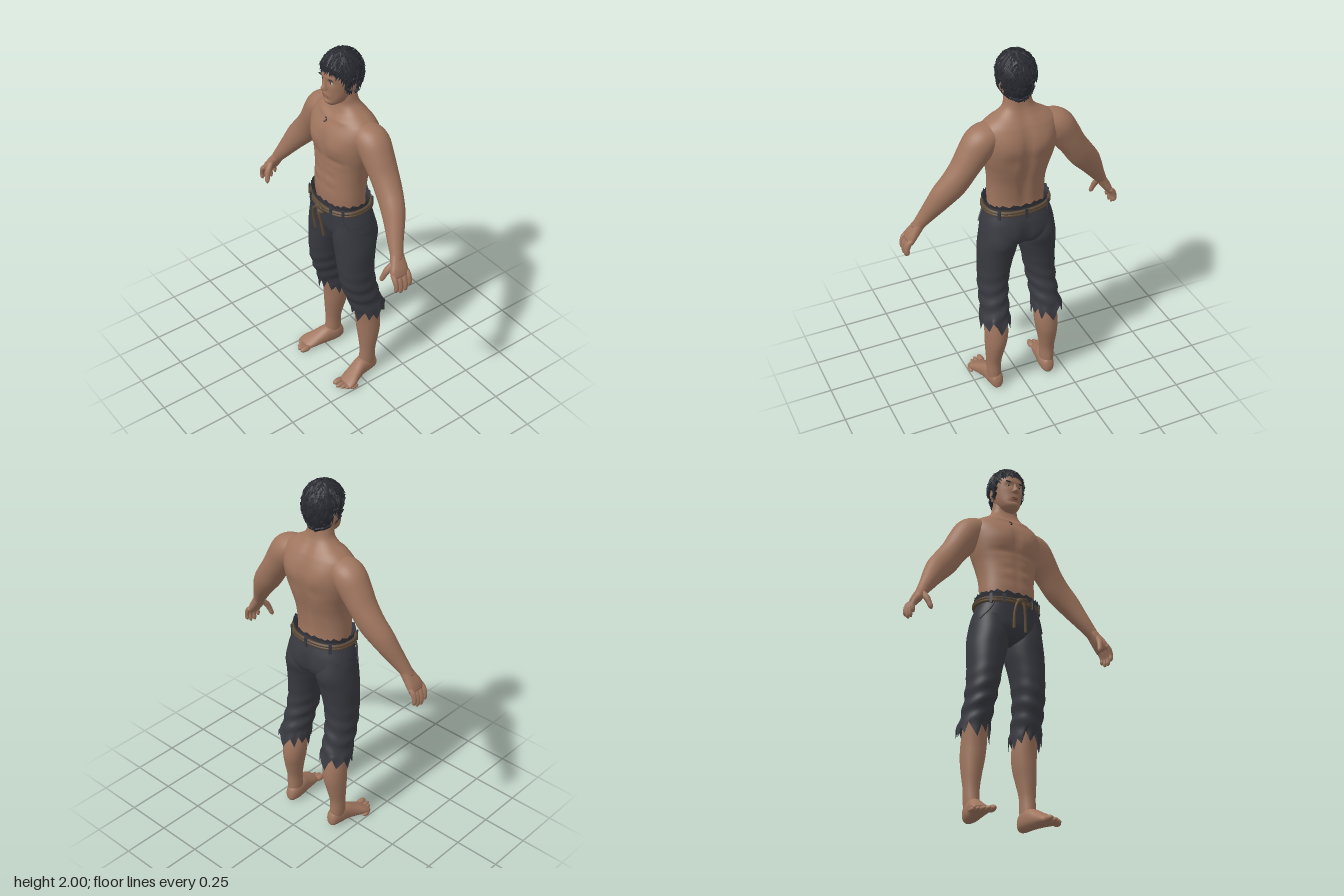
import * as THREE from 'three';
import { mergeGeometries } from 'three/addons/utils/BufferGeometryUtils.js';

const V = (x, y, z) => new THREE.Vector3(x, y, z);
const g = (a, s) => Math.exp(-((a / s) ** 2));
const mat = (name, color, extra = {}) => {
  const m = new THREE.MeshStandardMaterial({ color, ...extra });
  m.name = name;
  return m;
};

// Smooth loft through keys [x, y, z, ru, rv]. axis: 'y' level rings, 'z' upright rings, 'limb' rings across the path.
function loft(keys, { axis = 'y', seg = 24, rows = 24, n = 2, caps = true, fn } = {}) {
  const path = new THREE.CatmullRomCurve3(keys.map(k => V(k[0], k[1], k[2])), false, 'catmullrom', 0.5);
  const size = new THREE.CatmullRomCurve3(keys.map(k => V(k[3], k[4], 0)), false, 'catmullrom', 0.5);
  const pos = [], idx = [], U = V(1, 0, 0), W = axis === 'z' ? V(0, 1, 0) : V(0, 0, 1);
  const pw = v => Math.sign(v) * Math.abs(v) ** (2 / n);
  for (let i = 0; i <= rows; i++) {
    const t = i / rows, c = path.getPoint(t), r = size.getPoint(t);
    if (axis === 'limb') {
      const d = path.getTangent(t);
      U.set(-d.y, d.x, 0).normalize();
    }
    for (let j = 0; j < seg; j++) {
      const a = j / seg * Math.PI * 2;
      const p = c.clone().addScaledVector(U, pw(Math.cos(a)) * r.x).addScaledVector(W, pw(Math.sin(a)) * r.y);
      if (fn) fn(p, a, t);
      pos.push(p.x, p.y, p.z);
    }
  }
  const travel = path.getPoint(1).sub(path.getPoint(0));
  const flip = U.clone().cross(W).dot(travel) < 0;
  const tri = (a, b, c) => (flip ? idx.push(a, c, b) : idx.push(a, b, c));
  for (let i = 0; i < rows; i++) for (let j = 0; j < seg; j++) {
    const a = i * seg + j, b = i * seg + (j + 1) % seg;
    tri(a, b, b + seg);
    tri(a, b + seg, a + seg);
  }
  if (caps) for (const end of [0, 1]) {
    const c = path.getPoint(end), k = pos.length / 3, o = end * rows * seg;
    pos.push(c.x, c.y, c.z);
    for (let j = 0; j < seg; j++) {
      const a = o + j, b = o + (j + 1) % seg;
      end ? tri(a, b, k) : tri(b, a, k);
    }
  }
  const geo = new THREE.BufferGeometry();
  geo.setAttribute('position', new THREE.Float32BufferAttribute(pos, 3));
  geo.setIndex(idx);
  geo.computeVertexNormals();
  return geo;
}
// Level-ring keys given as [x, y, halfWidth, zFront, zBack]
const level = keys => keys.map(([x, y, h, f, b]) => [x, y, (f + b) / 2, h, (f - b) / 2]);

function mirror(geo) {
  const m = geo.clone().scale(-1, 1, 1), ix = m.index.array;
  for (let i = 0; i < ix.length; i += 3) [ix[i + 1], ix[i + 2]] = [ix[i + 2], ix[i + 1]];
  m.computeVertexNormals();
  return m;
}
const ball = (x, y, z, a, b, c) => new THREE.SphereGeometry(1, 16, 12).scale(a, b, c).translate(x, y, z);

export function createModel() {
  const root = new THREE.Group();
  root.name = 'barefootMan';
  const skin = mat('skin', 0xa0765f), cloth = mat('darkCloth', 0x393a41, { side: THREE.DoubleSide });
  const hairMat = mat('hair', 0x2b2d34, { side: THREE.DoubleSide }), rope = mat('rope', 0x5c4a37);
  const white = mat('eyeWhite', 0xb8aca0), lip = mat('lip', 0x85584a);
  const add = (name, geo, m) => {
    const mesh = new THREE.Mesh(geo, m);
    mesh.name = name;
    root.add(mesh);
    return mesh;
  };
  const pair = (name, geo, m) => {
    add(name + 'Left', geo, m);
    add(name + 'Right', mirror(geo), m);
  };
  // Depth of a mesh's front surface at x, y
  const frontZ = (mesh, x, y) =>
    new THREE.Raycaster(V(x, y, 2), V(0, 0, -1)).intersectObject(mesh)[0]?.point.z ?? 0.08;

  // Torso and neck, with chest, belly line and spine shaped in
  const torso = add('torso', loft(level([
    [0, 1.12, .148, .1, -.105], [0, 1.2, .15, .112, -.105], [0, 1.3, .152, .11, -.12], [0, 1.38, .165, .106, -.142],
    [0, 1.45, .185, .11, -.16], [0, 1.52, .2, .11, -.168], [0, 1.58, .205, .1, -.158], [0, 1.63, .192, .073, -.138],
    [0, 1.66, .158, .05, -.12], [0, 1.69, .108, .035, -.1], [0, 1.72, .078, .028, -.085], [0, 1.76, .068, .033, -.077],
    [0, 1.82, .062, .03, -.075]]), {
    seg: 72, rows: 72, n: 2.25,
    fn: (p, a) => {
      const s = Math.sin(a), x = Math.abs(p.x), y = p.y;
      if (s > 0) {
        p.z += s * (.013 * g(x - .09, .07) * g(y - 1.515, .055) - .008 * g(y - 1.435, .018) * g(x - .08, .07)
          - .008 * g(x, .016) * g(y - 1.51, .07) - .004 * g(x, .012) * g(y - 1.3, .1)
          + .003 * g(x - .05, .035) * Math.cos((y - 1.37) * 90) * g(y - 1.31, .08)
          + .009 * g(y - 1.645 - x * .1, .014) * g(x - .08, .06));
      } else {
        p.z -= s * (.018 * g(x, .026) * g(y - 1.42, .24)
          - .008 * g(x - .11, .05) * g(y - 1.56, .06) + .006 * g(x - .07, .04) * g(y - 1.46, .04));
      }
    },
  }), skin);

  // Arms
  pair('arm', loft([
    [.11, 1.605, -.035, .045, .06], [.16, 1.59, -.038, .068, .08], [.205, 1.56, -.042, .085, .086],
    [.25, 1.498, -.042, .08, .08], [.295, 1.43, -.042, .071, .073], [.345, 1.357, -.036, .071, .066],
    [.395, 1.295, -.022, .066, .06], [.435, 1.235, -.004, .054, .053], [.475, 1.17, .02, .041, .043],
    [.508, 1.118, .038, .031, .035], [.525, 1.09, .045, .026, .036]], { axis: 'limb', seg: 28, rows: 50 }), skin);

  // Hands
  pair('palm', loft([
    [.503, 1.125, .037, .026, .033], [.528, 1.085, .047, .026, .041], [.55, 1.05, .055, .024, .05],
    [.567, 1.02, .056, .017, .05]], { axis: 'limb', rows: 12, n: 2.4 }), skin);
  [[.097, .95], [.07, .935], [.042, .938], [.016, .958]].forEach(([z, tip], i) => {
    const y = 1.03, m = (y + tip) / 2;
    pair('finger' + (i + 1), loft([
      [.558, y + .01, z, .013, .013], [.578, m + .025, z + .001, .0145, .0135], [.588, m - .005, z, .012, .0115],
      [.586, tip + .012, z, .011, .011], [.581, tip, z, .003, .003]], { axis: 'limb', seg: 12, rows: 14 }), skin);
  });
  pair('thumb', loft([
    [.528, 1.085, .07, .017, .018], [.518, 1.05, .098, .018, .018], [.508, 1.015, .113, .014, .014],
    [.501, .99, .12, .012, .012], [.498, .977, .122, .003, .003]], { axis: 'limb', seg: 12, rows: 14 }), skin);

  // Lower legs, feet and toes
  pair('lowerLeg', loft(level([
    [.147, .56, .06, .03, -.11], [.146, .46, .062, .008, -.13], [.146, .39, .064, -.003, -.143],
    [.15, .32, .06, -.008, -.144], [.156, .25, .051, -.014, -.13], [.16, .17, .041, -.02, -.112],
    [.16, .1, .039, -.016, -.112], [.158, .05, .036, -.012, -.112]]), { rows: 36 }), skin);
  pair('foot', loft([
    [.155, .035, -.124, .012, .018], [.155, .045, -.11, .03, .042], [.156, .052, -.07, .041, .052],
    [.163, .052, -.015, .043, .052], [.177, .039, .035, .047, .039], [.19, .028, .075, .053, .028],
    [.196, .02, .105, .05, .019], [.196, .017, .118, .044, .012]], { axis: 'z', rows: 28, n: 2.3 }), skin);
  [[.157, .13, .018, .036], [.184, .136, .013, .03], [.205, .122, .012, .03], [.224, .104, .012, .028],
    [.24, .083, .012, .027]].forEach(([x, z, r, len], i) =>
    pair('toe' + (i + 1), ball(x, r * .95, z, r, r * .95, len), skin));

  // Ragged trousers: seat plus two torn legs
  const waistTear = [4, -3, 2, 5, -4, 1, 6, -2, 3, -5, 2, 0, 5, -3];
  add('trouserSeat', loft(level([
    [0, .925, .09, .02, -.06], [0, .95, .185, .08, -.12], [0, 1, .199, .111, -.146], [0, 1.07, .187, .117, -.14],
    [0, 1.13, .168, .119, -.122], [0, 1.16, .164, .121, -.117], [0, 1.187, .174, .127, -.125]]), {
    seg: 56, rows: 30, n: 2.3, caps: false,
    fn: (p, a, t) => {
      if (t === 1) p.y += .0018 * waistTear[Math.round(a / Math.PI * 28) % 14];
      if (a > Math.PI) p.z += .022 * g(p.x, .022) * g(p.y - 1, .06);
    },
  }), cloth);
  const hem = [-2, 3, -1, 5, 1, -3, 4, 0, 6, -1, 2, -4, 3, 0, 5, -2, 4, 1, -3, 3, 6, 0, 2, 4];
  pair('trouserLeg', loft(level([
    [.1, 1.06, .09, .1, -.12], [.103, .97, .1, .108, -.14], [.112, .89, .1, .104, -.122], [.124, .8, .088, .1, -.11],
    [.134, .7, .08, .091, -.106], [.141, .61, .075, .07, -.12], [.146, .53, .075, .042, -.142],
    [.152, .44, .083, .02, -.163]]), {
    seg: 48, rows: 56, n: 2.1, caps: false,
    fn: (p, a, t) => {
      const k = a / Math.PI * 12, i = Math.floor(k), f = k - i;
      const tear = hem[i % 24] * (1 - f) + hem[(i + 1) % 24] * f;
      p.y += tear * .0095 * Math.max(0, (t - .88) / .12);
      const fold = .004 * Math.sin(p.y * 75 + Math.cos(a) * 2.5) * g(p.y - .6, .13);
      p.x += fold * Math.cos(a);
      p.z += fold * Math.sin(a);
    },
  }), cloth);

  // Belt loops and slanted pocket edges
  const oval = (a, rx, rf, rb, y) => V(rx * Math.sign(Math.cos(a)) * Math.abs(Math.cos(a)) ** .88, y,
    -.001 + Math.sign(Math.sin(a)) * Math.abs(Math.sin(a)) ** .88 * (Math.sin(a) > 0 ? rf : rb));
  [.22, .36, .64, .78, 1.25, 1.5, 1.75].forEach((u, i) => {
    const loop = add('beltLoop' + (i + 1), new THREE.BoxGeometry(.016, .055, .008), cloth);
    loop.position.copy(oval(u * Math.PI, .182, .137, .135, 1.142));
    loop.rotation.y = Math.PI / 2 - u * Math.PI;
  });
  pair('pocketEdge', new THREE.TubeGeometry(new THREE.CatmullRomCurve3(
    [V(.125, 1.125, .092), V(.15, 1.08, .083), V(.186, 1.035, .047)]), 12, .005, 6), cloth);

  // Rope belt: two strands, knot and hanging tails
  const cord = (name, pts, r, closed = false) =>
    add(name, new THREE.TubeGeometry(new THREE.CatmullRomCurve3(pts, closed), closed ? 72 : 20, r, 8, closed), rope);
  for (const k of [0, 1]) cord('ropeBelt' + (k + 1), Array.from({ length: 36 }, (_, i) => {
    const a = i / 18 * Math.PI;
    return oval(a, .175, .129, .127, 1.139 + k * .014 - .008 * Math.max(0, Math.sin(a)));
  }), .009, true);
  add('ropeKnot', ball(0, 1.138, .14, .022, .018, .014), rope);
  cord('ropeTail1', [V(-.004, 1.14, .142), V(-.026, 1.115, .15), V(-.036, 1.06, .143), V(-.034, .98, .135)], .008);
  cord('ropeTail2', [V(.004, 1.14, .142), V(.018, 1.11, .15), V(.028, 1.05, .143), V(.036, .97, .133)], .008);
  cord('ropeBow', [V(0, 1.145, .142), V(.03, 1.15, .147), V(.045, 1.125, .143), V(.02, 1.122, .148), V(0, 1.135, .144)], .007);

  // Head with eye sockets, brow and chin
  const head = add('head', loft(level([
    [0, 1.718, .022, .07, .01], [0, 1.738, .047, .087, -.03], [0, 1.775, .066, .089, -.065], [0, 1.82, .076, .091, -.092],
    [0, 1.87, .08, .093, -.102], [0, 1.92, .079, .086, -.102], [0, 1.955, .062, .06, -.08], [0, 1.975, .02, .01, -.03]]), {
    seg: 56, rows: 56, n: 2.25,
    fn: (p, a) => {
      const x = Math.abs(p.x), s = Math.max(0, Math.sin(a));
      p.z += s * (-.009 * g(x - .033, .018) * g(p.y - 1.853, .014) + .004 * g(x - .03, .03) * g(p.y - 1.878, .01)
        + .004 * g(x, .02) * g(p.y - 1.74, .014) - .005 * g(x, .03) * g(p.y - 1.757, .008)
        + .004 * g(x, .025) * g(p.y - 1.78, .014) - .004 * g(x - .055, .015) * g(p.y - 1.79, .03));
    },
  }), skin);
  add('nose', loft(level([
    [0, 1.872, .008, .093, .06], [0, 1.845, .01, .103, .06], [0, 1.825, .015, .115, .06], [0, 1.813, .018, .113, .06],
    [0, 1.806, .011, .098, .06]]), { seg: 16, rows: 16 }), skin);
  pair('ear', ball(.081, 1.832, -.015, .01, .032, .019), skin);
  const eyeZ = frontZ(head, .033, 1.853), browZ = frontZ(head, .035, 1.874);
  pair('eye', ball(.033, 1.853, eyeZ, .014, .0055, .004), white);
  pair('iris', ball(.033, 1.853, eyeZ + .003, .0052, .0052, .0022), hairMat);
  pair('eyebrow', ball(.036, 1.874, browZ, .02, .0045, .0045).rotateZ(0), hairMat);
  add('upperLip', ball(0, 1.779, frontZ(head, 0, 1.779), .022, .0035, .004), lip);
  add('lowerLip', ball(0, 1.772, frontZ(head, 0, 1.772), .018, .004, .0045), lip);

  // Small dark mark on the upper chest
  [[-.02, 1.632, .009, .003], [-.012, 1.622, .004, .008], [-.02, 1.614, .007, .003]].forEach(([x, y, a, b], i) =>
    add('chestMark' + (i + 1), ball(x, y, frontZ(torso, x, y), a, b, .004), hairMat));

  // Hair: fitted shell with a shaped edge, covered in pointed locks
  const hairAt = (a, y) => {
    const f = y > 1.88 ? Math.sqrt(Math.max(0, 1 - ((y - 1.88) / .108) ** 2)) : 1 - .35 * ((1.88 - y) / .12) ** 2;
    return V(.093 * f * Math.cos(a), y, -.008 + .106 * f * Math.sin(a));
  };
  const line = [[-1, 1.755], [-.35, 1.78], [-.2, 1.86], [0, 1.86], [.08, 1.8], [.25, 1.805], [.45, 1.875], [.7, 1.905], [1.01, 1.918]];
  const edge = a => {
    const s = Math.sin(a), i = Math.max(1, line.findIndex(k => k[0] > s)), [p, q] = [line[i - 1], line[i]];
    return THREE.MathUtils.lerp(p[1], q[1], (s - p[0]) / (q[0] - p[0]));
  };
  add('hairShell', loft([[0, 0, 0, 1, 1], [0, 1, 0, 1, 1]], {
    seg: 64, rows: 24, caps: false,
    fn: (p, a, t) => p.copy(hairAt(a, THREE.MathUtils.lerp(edge(a), 1.988, Math.sin(t * Math.PI / 2)))),
  }), hairMat);
  let seed = 7;
  const rand = () => (seed = (seed * 16807) % 2147483647) / 2147483647;
  const locks = [];
  for (let i = 0; i < 340; i++) {
    const rim = i < 70, a = rim ? i / 70 * Math.PI * 2 : rand() * Math.PI * 2, e = edge(a);
    const y = rim ? e + .008 : THREE.MathUtils.lerp(e + .01, 1.986, Math.sqrt(rand()));
    const p = hairAt(a, y), out = V(p.x, (p.y - 1.88) * .9, p.z).normalize();
    const dir = hairAt(a + (rand() - .5) * .3, y - .02).sub(p).normalize().addScaledVector(out, rim ? .08 : .3).normalize();
    const len = .03 + rand() * .018;
    const lock = new THREE.ConeGeometry(.009 + rand() * .004, len, 4);
    lock.applyQuaternion(new THREE.Quaternion().setFromUnitVectors(V(0, 1, 0), dir));
    p.addScaledVector(dir, len * .3);
    locks.push(lock.translate(p.x, p.y, p.z));
  }
  add('hairLocks', mergeGeometries(locks), hairMat);
  return root;
}
